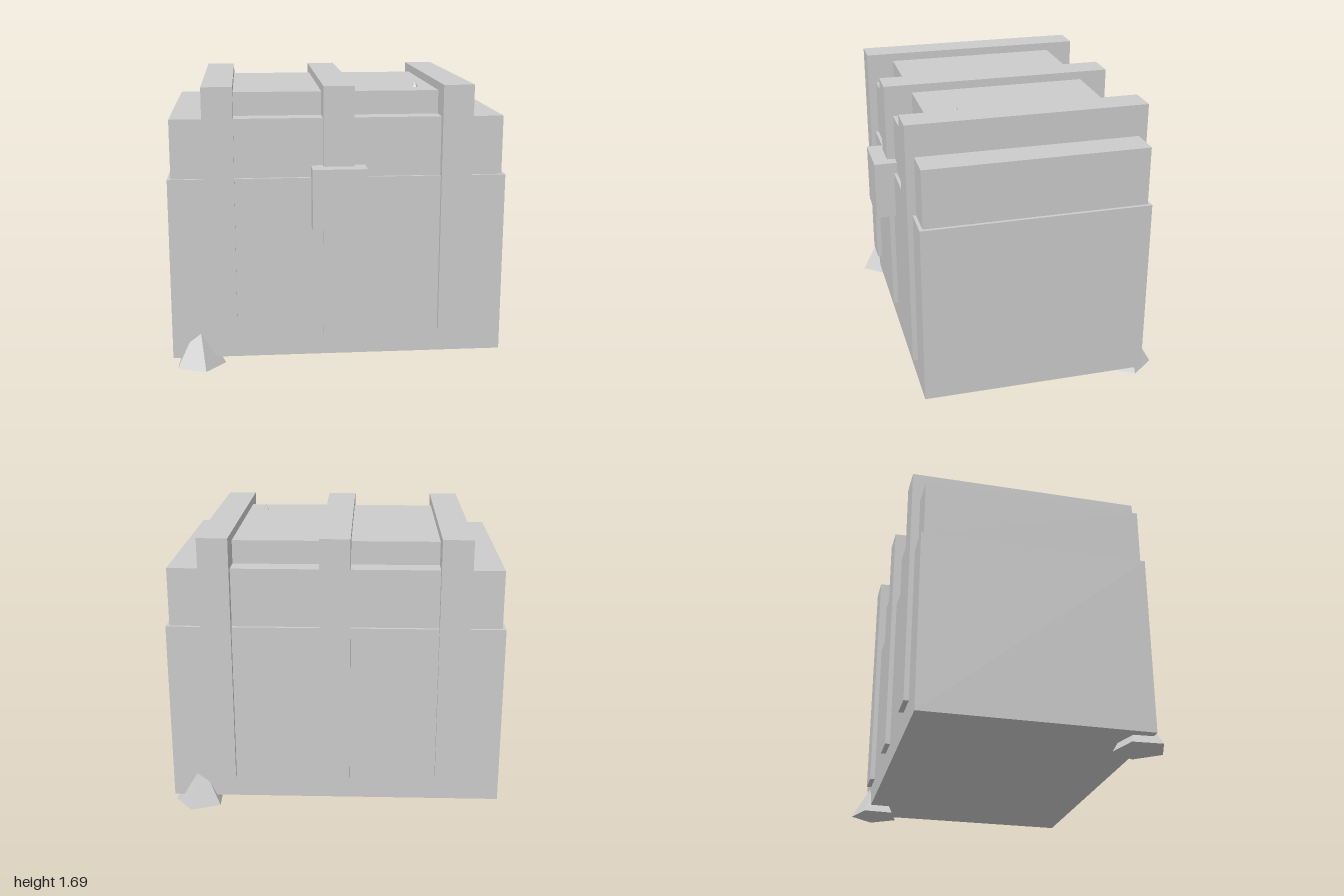
import * as THREE from 'three';

export function createModel() {
  const model = new THREE.Group();
  const material = new THREE.MeshStandardMaterial({ color: 0xcccccc, flatShading: true });

  const add = (name, geometry, x, y, z) => {
    const mesh = new THREE.Mesh(geometry, material);
    mesh.name = name;
    mesh.position.set(x, y, z);
    model.add(mesh);
    return mesh;
  };

  // Box given by its x centre, width, y range and z range
  const box = (name, x, width, y0, y1, z0, z1) =>
    add(name, new THREE.BoxGeometry(width, y1 - y0, z1 - z0), x, (y0 + y1) / 2, (z0 + z1) / 2);

  // Five-sided spike standing on y, turned about the vertical
  const spike = (name, x, y, z, radius, height, degrees) =>
    add(name, new THREE.ConeGeometry(radius, height, 5), x, y + height / 2, z)
      .rotation.y = THREE.MathUtils.degToRad(degrees);

  // Chest and stepped lid
  box('body', 0, 2, 0.05, 1.15, -0.685, 0.675);
  box('lid', 0, 1.96, 1.15, 1.5, -0.665, 0.655);
  box('lidTop', 0, 1.56, 1.5, 1.64, -0.545, 0.535);

  // Straps wrapping front, top and back
  [['rightStrap', -0.7], ['middleStrap', 0], ['leftStrap', 0.7]].forEach(([name, x]) =>
    box(name, x, 0.18, 0.19, 1.69, -0.715, 0.705));

  // Lock plate
  box('lock', 0, 0.32, 0.86, 1.22, 0.62, 0.795);

  // Spikes at two opposite corners, and a tiny one on the lid
  spike('frontSpike', -0.84, 0, 0.636, 0.157, 0.27, 15);
  spike('backSpike', 0.843, 0, -0.643, 0.157, 0.27, 21);
  spike('lidSpike', 0.5, 1.635, 0.35, 0.021, 0.043, 15);

  return model;
}
